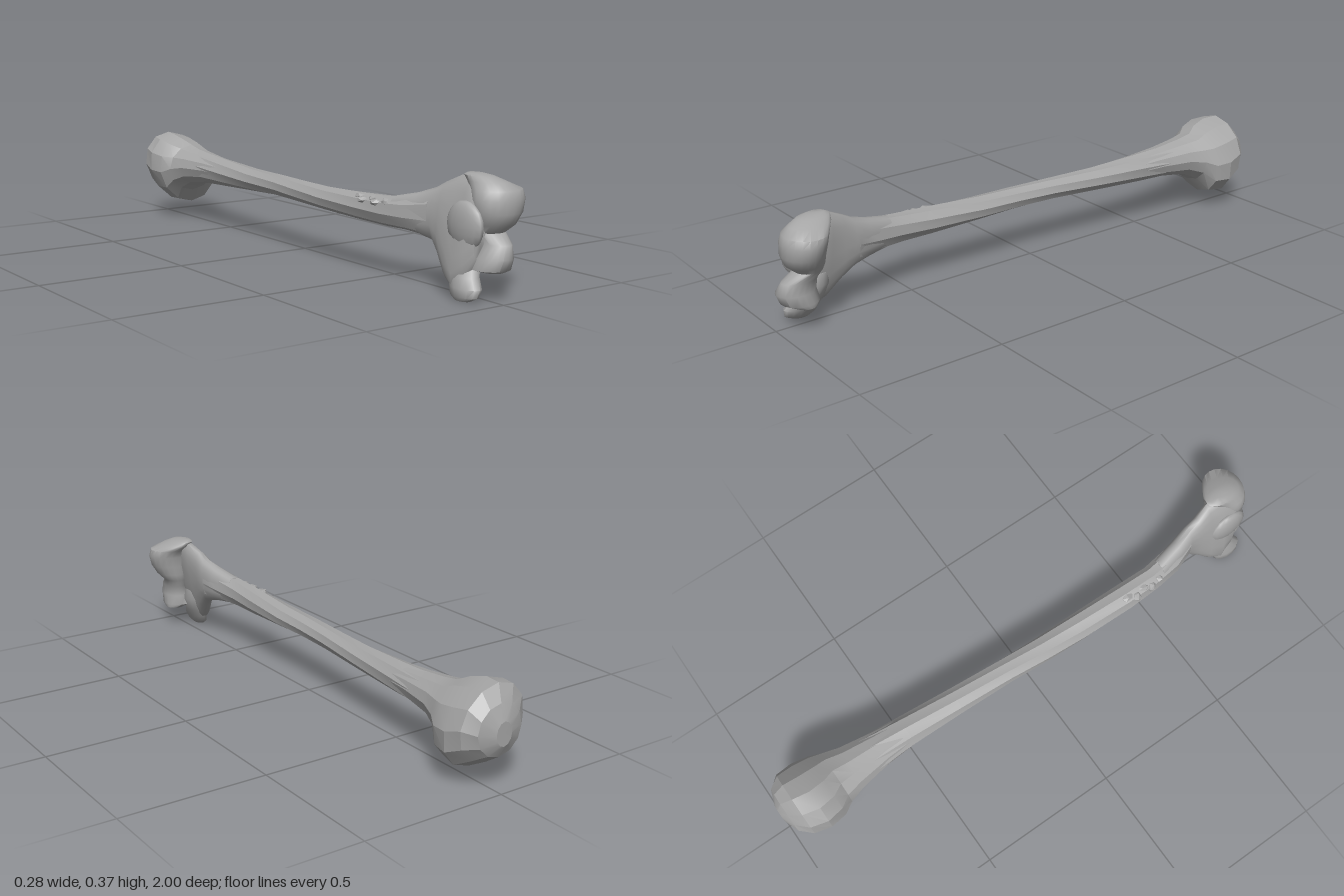
import * as THREE from 'three';
import { toCreasedNormals } from 'three/addons/utils/BufferGeometryUtils.js';

// Skin of superelliptic rings, each [t, centreU, centreV, radiusU, radiusV, skew].
// Axis 'z': u = x, v = y. Axis 'y': u = z, v = x. Skew shears u along v.
function loft(rows, { axis = 'z', sides = 14, twist = 0, power = 1, crease = 0.6 } = {}) {
  const pos = [], idx = [];
  const put = (t, u, v) => (axis === 'z' ? pos.push(u, v, t) : pos.push(v, t, u));
  const round = (n) => Math.sign(n) * Math.abs(n) ** power;
  for (const [t, cu, cv, ru, rv, skew = 0] of rows) {
    for (let i = 0; i < sides; i++) {
      const a = (i / sides) * Math.PI * 2 + t * twist;
      const dv = rv * round(Math.sin(a));
      put(t, cu + ru * round(Math.cos(a)) + skew * dv, cv + dv);
    }
  }
  for (let r = 0; r < rows.length - 1; r++) {
    for (let i = 0; i < sides; i++) {
      const a = r * sides + i, b = r * sides + ((i + 1) % sides);
      idx.push(a, b, b + sides, a, b + sides, a + sides);
    }
  }
  // End caps
  const first = rows[0], last = rows[rows.length - 1];
  const n = rows.length * sides, top = n - sides;
  put(first[0], first[1], first[2]);
  put(last[0], last[1], last[2]);
  for (let i = 0; i < sides; i++) {
    const j = (i + 1) % sides;
    idx.push(n, j, i, n + 1, top + i, top + j);
  }
  const geo = new THREE.BufferGeometry();
  geo.setAttribute('position', new THREE.Float32BufferAttribute(pos, 3));
  geo.setIndex(idx);
  return toCreasedNormals(geo, crease);
}

export function createModel() {
  const group = new THREE.Group();
  const bone = new THREE.MeshStandardMaterial({ color: 0xa6a6a6 });
  bone.name = 'bone grey';
  const add = (name, geo) => {
    const mesh = new THREE.Mesh(geo, bone);
    mesh.name = name;
    group.add(mesh);
    return mesh;
  };

  // Faceted rounded head, flowing into the neck
  add('head', loft([
    [-1.0, 0, 0.195, 0.03, 0.04],
    [-0.98, 0, 0.2, 0.085, 0.085],
    [-0.94, -0.005, 0.21, 0.122, 0.122, -0.15],
    [-0.88, -0.005, 0.192, 0.132, 0.137, -0.2],
    [-0.82, -0.005, 0.187, 0.122, 0.126, -0.15],
    [-0.78, -0.006, 0.203, 0.1, 0.09],
    [-0.72, -0.008, 0.213, 0.082, 0.068],
    [-0.6, -0.008, 0.215, 0.062, 0.053],
    [-0.5, -0.01, 0.213, 0.052, 0.046],
  ], { sides: 12, crease: 0.35 }));

  // Slim shaft with slowly twisting ridges
  add('shaft', loft([
    [-0.66, -0.008, 0.215, 0.068, 0.058],
    [-0.5, -0.01, 0.213, 0.056, 0.05],
    [-0.3, -0.018, 0.212, 0.048, 0.041],
    [-0.1, -0.028, 0.215, 0.044, 0.037],
    [0.05, -0.037, 0.214, 0.046, 0.037],
    [0.2, -0.041, 0.212, 0.049, 0.039],
    [0.4, -0.044, 0.214, 0.048, 0.046],
    [0.52, -0.043, 0.216, 0.043, 0.05],
    [0.62, -0.03, 0.222, 0.044, 0.057],
    [0.7, -0.008, 0.23, 0.036, 0.075],
  ], { sides: 9, twist: 0.9, crease: 0.35 }));

  // Flat fan that widens towards the joint
  add('jointFan', loft([
    [0.56, -0.038, 0.22, 0.036, 0.05],
    [0.65, -0.02, 0.226, 0.037, 0.065],
    [0.71, -0.006, 0.23, 0.033, 0.083, 0.05],
    [0.75, -0.01, 0.223, 0.034, 0.112, 0.12],
    [0.8, -0.012, 0.207, 0.036, 0.153, 0.2],
    [0.85, -0.016, 0.195, 0.04, 0.17, 0.22],
    [0.89, -0.02, 0.2, 0.038, 0.135, 0.15],
    [0.92, -0.022, 0.21, 0.022, 0.09, 0.1],
  ], { sides: 18, power: 0.85, crease: 0.9 }));

  // Waisted joint roller: a low flare, a narrow groove, a large upper lobe
  add('jointRoller', loft([
    [0.08, 0.91, 0.04, 0.035, 0.034],
    [0.095, 0.92, 0.018, 0.064, 0.06],
    [0.13, 0.932, 0.018, 0.066, 0.055],
    [0.17, 0.925, 0.032, 0.06, 0.04],
    [0.2, 0.895, 0.038, 0.045, 0.048],
    [0.225, 0.908, 0.044, 0.062, 0.064],
    [0.26, 0.915, 0.047, 0.069, 0.081],
    [0.3, 0.912, 0.052, 0.071, 0.087],
    [0.327, 0.905, 0.053, 0.071, 0.081],
    [0.348, 0.88, 0.038, 0.07, 0.052],
    [0.364, 0.86, 0.025, 0.055, 0.035],
    [0.37, 0.85, 0.02, 0.03, 0.02],
  ], { axis: 'y', sides: 20, crease: 0.9 }));

  // Knob hanging below the inner side of the joint
  add('lowerKnob', loft([
    [0.002, 0.885, -0.055, 0.03, 0.018],
    [0.015, 0.888, -0.052, 0.054, 0.028],
    [0.04, 0.885, -0.045, 0.062, 0.034],
    [0.07, 0.865, -0.032, 0.055, 0.036],
    [0.12, 0.85, -0.015, 0.05, 0.038],
    [0.16, 0.84, -0.012, 0.04, 0.03],
  ], { axis: 'y', sides: 14, crease: 0.9 }));

  // Ridge along the side of the joint
  const ridge = add('sideRidge', new THREE.SphereGeometry(1, 14, 10));
  ridge.scale.set(0.028, 0.075, 0.075);
  ridge.position.set(-0.037, 0.22, 0.87);

  // Small rough patch on top of the shaft
  for (let i = 0; i < 5; i++) {
    const bump = add('roughPatch', toCreasedNormals(new THREE.IcosahedronGeometry(1, 0), 0.1));
    bump.scale.set(0.016, 0.012, 0.025);
    bump.position.set(-0.062 - 0.012 * (i % 2), 0.248 - 0.006 * (i % 2), 0.4 + i * 0.033);
    bump.rotation.y = i * 1.3;
  }
  return group;
}
